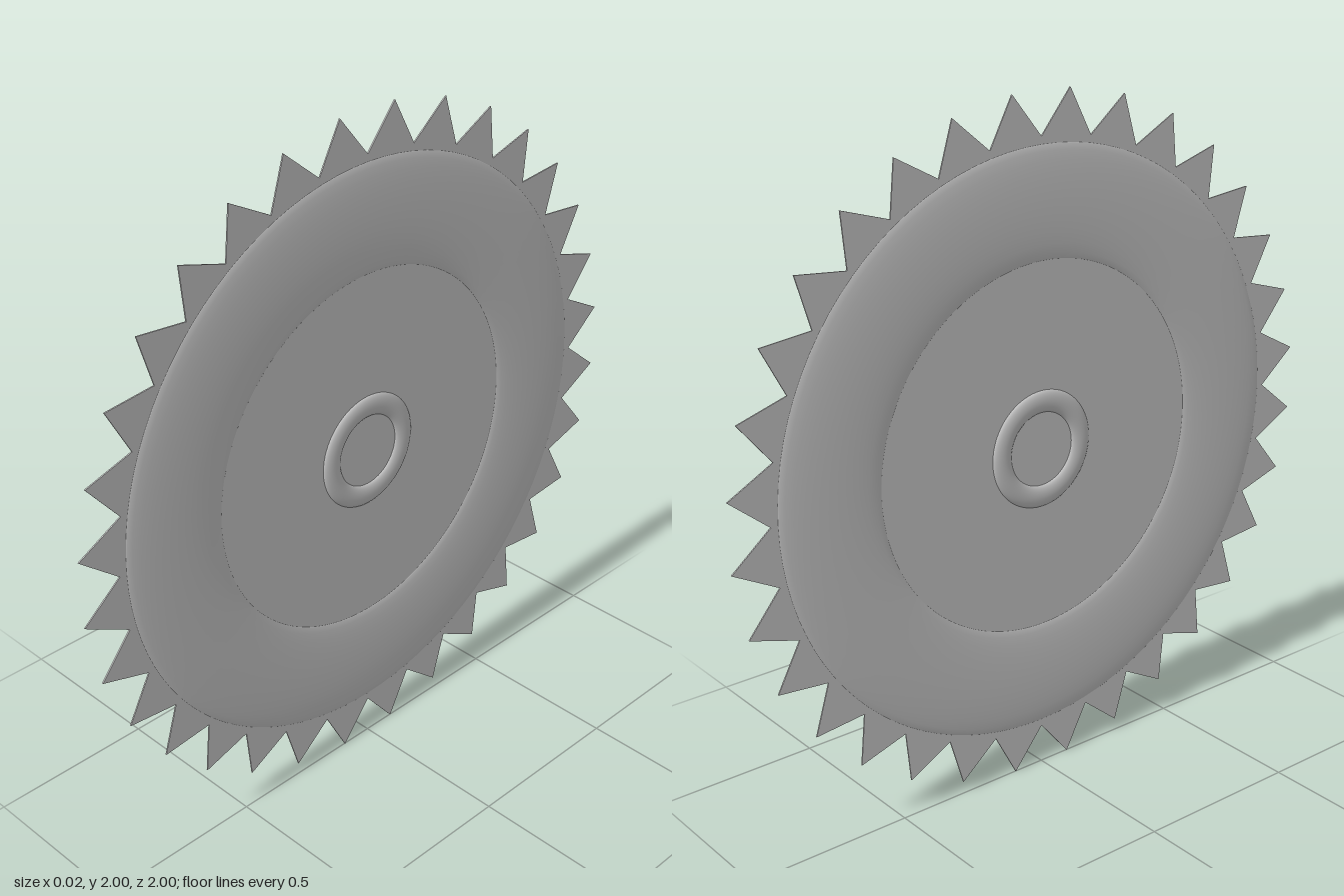
import * as THREE from 'three';

const TEETH = 32;
const TIP = 1 / Math.cos(Math.PI / TEETH); // tips straddle the axes, so the outline spans 2 units
const ROOT = 0.88;
const PLATE = 0.004;

export function createModel() {
  const model = new THREE.Group();
  model.name = 'sawBlade';
  const material = new THREE.MeshStandardMaterial({ color: 0xcccccc });

  // blade lies in the XY plane, then is turned to face along x
  const blade = new THREE.Group();
  blade.name = 'blade';
  blade.rotation.y = Math.PI / 2;
  blade.position.y = 1;
  model.add(blade);

  const add = (name, geometry) => {
    const mesh = new THREE.Mesh(geometry, material);
    mesh.name = name;
    blade.add(mesh);
  };

  // thin toothed plate
  const outline = [];
  for (let i = 0; i < TEETH * 2; i++) {
    const a = (i * Math.PI) / TEETH;
    const r = i % 2 ? TIP : ROOT;
    outline.push(new THREE.Vector2(Math.cos(a) * r, Math.sin(a) * r));
  }
  const plate = new THREE.ExtrudeGeometry(new THREE.Shape(outline), { depth: PLATE, bevelEnabled: false });
  plate.translate(0, 0, -PLATE / 2);
  add('toothedPlate', plate);

  // flattened rings standing proud of both faces
  const ring = (name, inner, outer, halfThickness, segments) => {
    const tube = (outer - inner) / 2;
    const geometry = new THREE.TorusGeometry((inner + outer) / 2, tube, 24, segments);
    geometry.scale(1, 1, halfThickness / tube);
    add(name, geometry);
  };
  ring('outerBand', 0.54, 0.862, 0.012, 96);
  ring('hubRing', 0.108, 0.174, 0.012, 64);

  return model;
}
